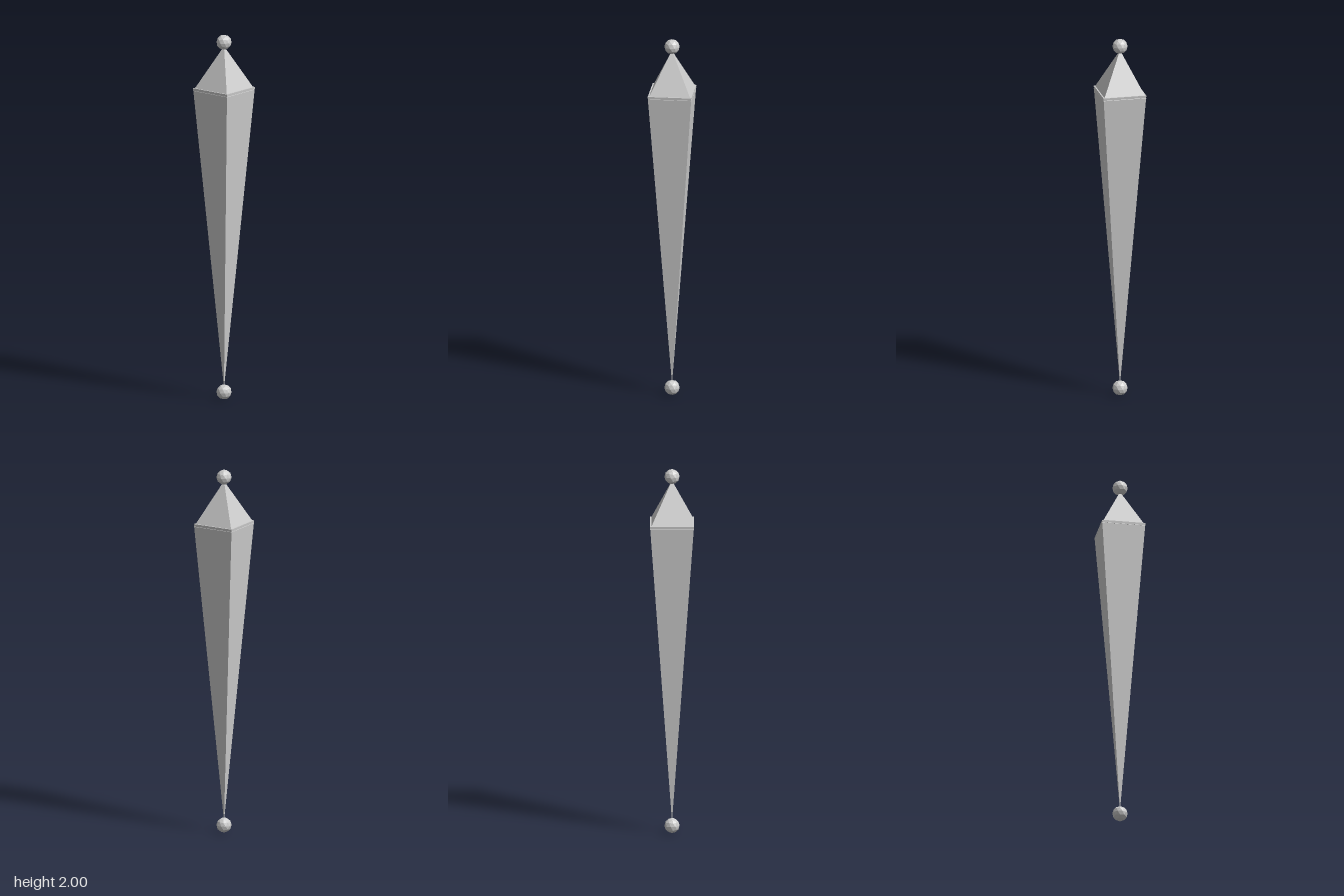
import * as THREE from 'three';

const material = new THREE.MeshStandardMaterial({ color: 0xcccccc, flatShading: true });

function addPart(group, name, geometry, y) {
  const mesh = new THREE.Mesh(geometry, material);
  mesh.name = name;
  mesh.position.y = y;
  group.add(mesh);
  return mesh;
}

export function createModel() {
  const group = new THREE.Group();
  group.name = 'bone';

  const ballRadius = 0.041;
  const halfWidth = 0.166;

  // Long four-sided shaft, tip down, with a flat top that leaves a thin rim
  const shaftTip = 0.06, shaftTop = 1.71;
  const shaftHeight = shaftTop - shaftTip;
  const shaft = new THREE.ConeGeometry(halfWidth, shaftHeight, 4).rotateX(Math.PI);
  addPart(group, 'shaft', shaft, shaftTip + shaftHeight / 2);

  // Short pyramid, sunk slightly into the shaft
  const capBase = 1.695, capTip = 1.937;
  const cap = new THREE.ConeGeometry(halfWidth, capTip - capBase, 4);
  addPart(group, 'cap', cap, (capBase + capTip) / 2);

  // Faceted balls at both ends, each turned so a corner points straight up
  const tilt = -Math.atan(2 / (1 + Math.sqrt(5)));
  const ball = new THREE.IcosahedronGeometry(ballRadius, 1).rotateZ(tilt);
  addPart(group, 'bottomBall', ball, ballRadius);
  addPart(group, 'topBall', ball, 2 - ballRadius);

  return group;
}
